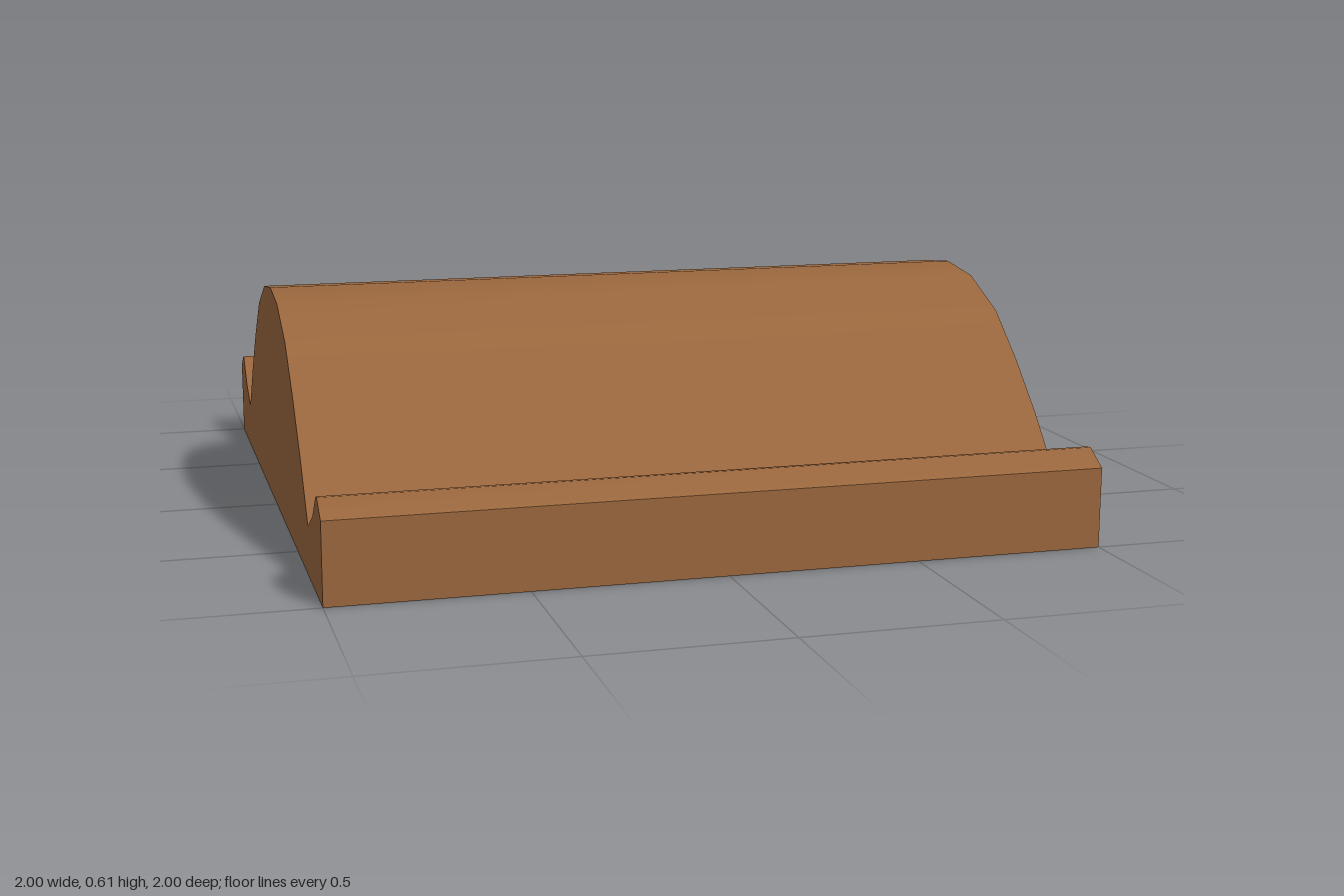
import * as THREE from 'three';
import { toCreasedNormals } from 'three/addons/utils/BufferGeometryUtils.js';

export function createModel() {
  const group = new THREE.Group();
  group.name = 'ridgedBlock';

  // Half of the cross-section, from the outer foot to the crest: [z, y]
  const half = [
    [1, 0], [1, 0.21], [0.935, 0.25], [0.915, 0.248], [0.84, 0.18], [0.74, 0.13],
    [0.61, 0.275], [0.48, 0.4], [0.34, 0.515], [0.165, 0.59],
  ];
  const mirrored = half.map(([z, y]) => [-z, y]).reverse();
  const outline = [...half, [0, 0.61], ...mirrored].map(([z, y]) => new THREE.Vector2(z, y));

  // Sweep the section along x
  const geometry = new THREE.ExtrudeGeometry(new THREE.Shape(outline), {
    depth: 2, bevelEnabled: false,
  });
  geometry.translate(0, 0, -1);
  geometry.rotateY(Math.PI / 2);

  // Smooth mound and lips, sharp grooves and block edges
  const body = new THREE.Mesh(
    toCreasedNormals(geometry, 0.9),
    new THREE.MeshStandardMaterial({ color: 0x99663d }),
  );
  body.name = 'moundWithEdgeLips';
  group.add(body);
  return group;
}
